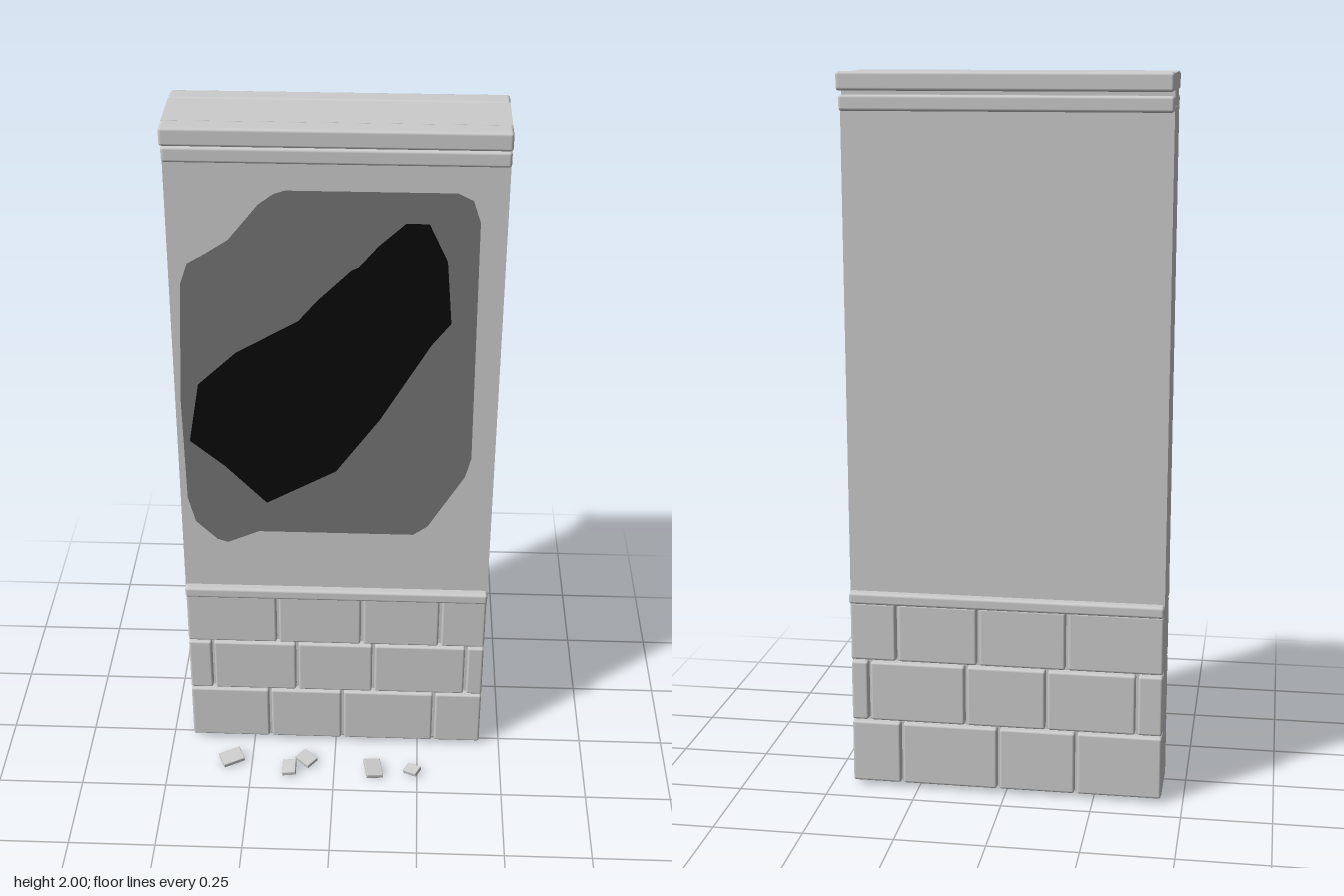
import * as THREE from 'three';
import { RoundedBoxGeometry } from 'three/addons/geometries/RoundedBoxGeometry.js';

export function createModel() {
  const model = new THREE.Group();
  const mat = (name, color) => {
    const m = new THREE.MeshStandardMaterial({ color });
    m.name = name;
    return m;
  };
  const stone = mat('pale stone', 0xcccccc);
  const plaster = mat('exposed grey plaster', 0x757575);
  const dark = mat('black breach', 0x080808);

  const add = (name, geometry, material) => {
    const mesh = new THREE.Mesh(geometry, material);
    mesh.name = name;
    model.add(mesh);
    return mesh;
  };
  // Box given by its limits, with rounded edges if r > 0
  const block = (name, x0, x1, y0, y1, z0, z1, r = 0) => {
    const s = [x1 - x0, y1 - y0, z1 - z0];
    const g = r ? new RoundedBoxGeometry(...s, 2, r) : new THREE.BoxGeometry(...s);
    add(name, g, stone).position.set((x0 + x1) / 2, (y0 + y1) / 2, (z0 + z1) / 2);
  };

  const W = 0.44, mid = -0.07; // half width and middle plane of the wall
  block('wallCore', -W + 0.001, W - 0.001, 0.01, 1.998, mid - 0.077, mid + 0.077);
  block('upperPanel', -W, W, 0.56, 1.91, mid - 0.087, mid + 0.089);

  // Courses of masonry: y range and positions of the vertical joints
  const courses = [
    [0.012, 0.192, [-0.2, 0.02, 0.297]],
    [0.198, 0.371, [-0.368, -0.116, 0.112, 0.388]],
    [0.377, 0.545, [-0.172, 0.077, 0.307]],
  ];
  for (const [side, tag] of [[1, 'front'], [-1, 'back']]) {
    // Each part lies between two distances from the middle plane
    const layer = (name, x0, x1, y0, y1, d0, d1, r) => {
      const z = [mid + side * d0, mid + side * d1].sort((a, b) => a - b);
      block(tag + name, x0, x1, y0, y1, z[0], z[1], r);
    };
    layer('CorniceTop', -W, W, 1.951, 2, 0.076, 0.136, 0.008);
    layer('CorniceLower', -W, W, 1.898, 1.94, 0.077, 0.111, 0.008);
    layer('DadoRail', -W, W, 0.544, 0.577, 0.077, 0.114, 0.008);
    for (const [y0, y1, joints] of courses) {
      const edges = [-W - 0.003, ...joints, W + 0.003];
      for (let i = 0; i + 1 < edges.length; i++) {
        layer('Brick', edges[i] + 0.004, edges[i + 1] - 0.004, y0, y1, 0.07, 0.101, 0.007);
      }
    }
  }

  // Damaged patch and the breach inside it, as thin faces on the front
  const patch = (name, points, z, material) => {
    const shape = new THREE.Shape(points.map(([x, y]) => new THREE.Vector2(x, y)));
    add(name, new THREE.ShapeGeometry(shape), material).position.z = z;
  };
  patch('plasterPatch', [
    [-0.13, 1.82], [0.31, 1.82], [0.35, 1.8], [0.37, 1.74], [0.375, 1.03], [0.36, 0.97],
    [0.26, 0.8], [0.22, 0.77], [-0.22, 0.77], [-0.31, 0.73], [-0.34, 0.74], [-0.4, 0.8],
    [-0.42, 0.88], [-0.425, 1.2], [-0.41, 1.55], [-0.39, 1.61], [-0.34, 1.64],
    [-0.28, 1.68], [-0.2, 1.78], [-0.16, 1.81],
  ], 0.021, plaster);
  patch('breach', [
    [0.18, 1.735], [0.24, 1.735], [0.29, 1.63], [0.305, 1.45], [0.255, 1.385], [0.12, 1.15],
    [0, 0.98], [-0.195, 0.87], [-0.31, 0.99], [-0.405, 1.07], [-0.375, 1.25], [-0.27, 1.35],
    [-0.1, 1.45], [-0.05, 1.51], [0.04, 1.6], [0.06, 1.61], [0.11, 1.67],
  ], 0.0235, dark);

  // Fallen chips: x, z, width, depth, turn, tilt
  const chips = [
    [-0.312, 0.133, 0.066, 0.05, 0.43, 0.12],
    [-0.085, 0.13, 0.053, 0.043, -0.72, -0.12],
    [-0.135, 0.171, 0.041, 0.052, 0, 0.15],
    [0.118, 0.165, 0.05, 0.067, 0.19, -0.13],
    [0.235, 0.167, 0.045, 0.034, -0.52, 0.15],
  ];
  for (const [x, z, w, d, turn, tilt] of chips) {
    const chip = add('fallenChip', new RoundedBoxGeometry(w, 0.013, d, 1, 0.002), stone);
    chip.position.set(x, 0.012, z);
    chip.rotation.set(Math.abs(tilt), turn, tilt, 'YXZ');
  }
  return model;
}
